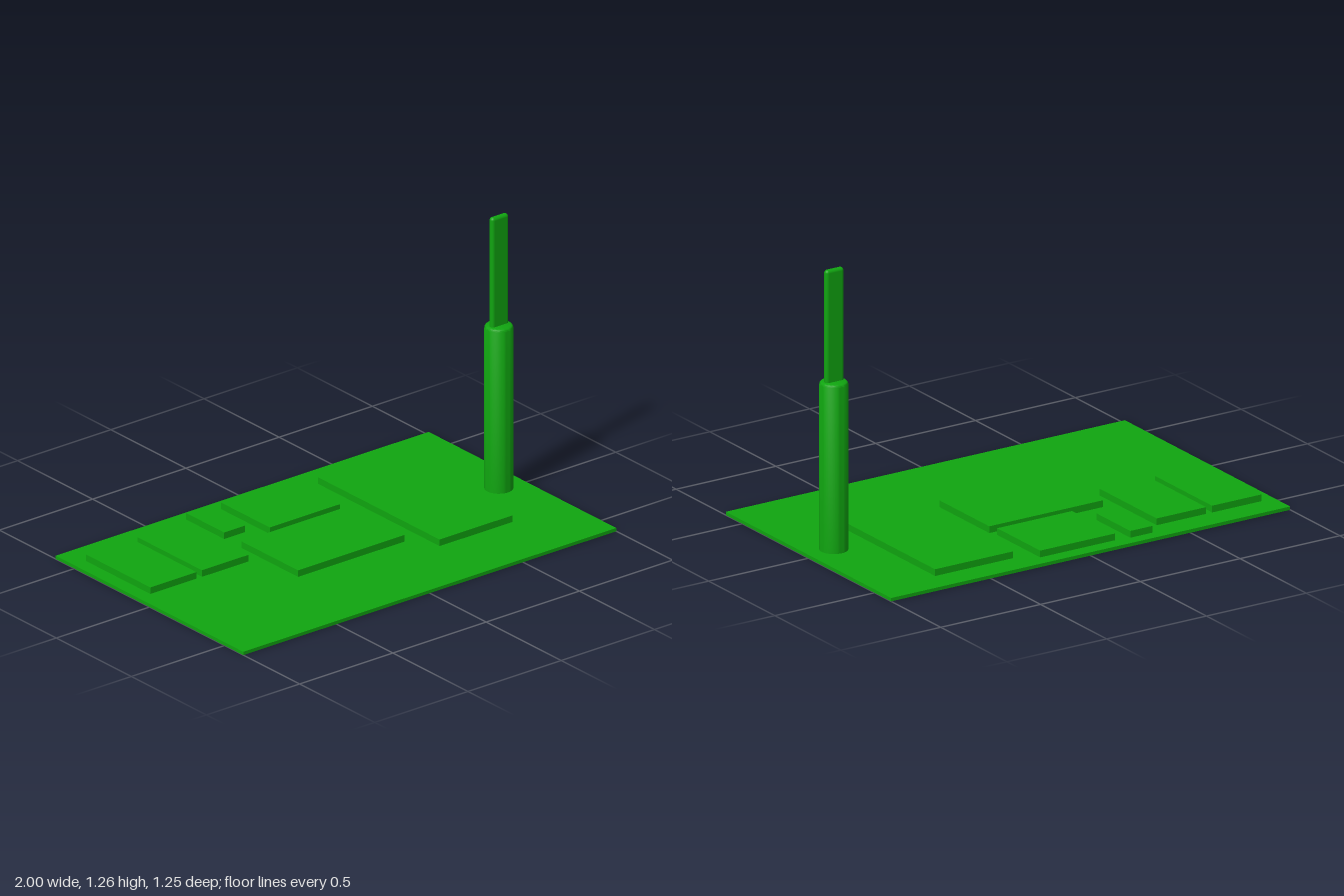
import * as THREE from 'three';
import { RoundedBoxGeometry } from 'three/addons/geometries/RoundedBoxGeometry.js';
import { toCreasedNormals } from 'three/addons/utils/BufferGeometryUtils.js';

export function createModel() {
  const group = new THREE.Group();
  const green = new THREE.MeshStandardMaterial({ color: 0x10a510 });

  const add = (name, geometry, x, y, z) => {
    const mesh = new THREE.Mesh(geometry, green);
    mesh.name = name;
    mesh.position.set(x, y, z);
    group.add(mesh);
  };

  // Thin board
  const boardTop = 0.015;
  add('board', new THREE.BoxGeometry(2, boardTop, 1.25), 0, boardTop / 2, 0);

  // Flat raised blocks: x min, x max, z min, z max
  const blockTop = 0.045;
  const blocks = [
    [-0.935, -0.688, -0.505, -0.075],
    [-0.658, -0.41, -0.505, -0.075],
    [-0.346, -0.235, -0.57, -0.315],
    [-0.166, 0.21, -0.56, -0.235],
    [-0.346, 0.225, -0.198, 0.177],
    [0.31, 0.7, -0.505, 0.305],
  ];
  blocks.forEach(([x0, x1, z0, z1], i) => {
    const h = blockTop - boardTop;
    add(`block${i + 1}`, new THREE.BoxGeometry(x1 - x0, h, z1 - z0),
      (x0 + x1) / 2, boardTop + h / 2, (z0 + z1) / 2);
  });

  // Round post with a softened top edge
  const postX = 0.873, radius = 0.061, postTop = 0.765, fillet = 0.015;
  const profile = [new THREE.Vector2(0, boardTop), new THREE.Vector2(radius, boardTop)];
  for (let i = 0; i <= 5; i++) {
    const a = (i / 5) * Math.PI / 2;
    profile.push(new THREE.Vector2(
      radius - fillet + fillet * Math.cos(a), postTop - fillet + fillet * Math.sin(a)));
  }
  profile.push(new THREE.Vector2(0, postTop));
  add('post', toCreasedNormals(new THREE.LatheGeometry(profile, 40), 0.6), postX, 0, 0);

  // Flat blade with rounded edges, seated in the post
  const bladeTop = 1.265, bladeBase = 0.74;
  add('blade', new RoundedBoxGeometry(0.09, bladeTop - bladeBase, 0.028, 4, 0.0135),
    postX, (bladeTop + bladeBase) / 2, 0);

  return group;
}
